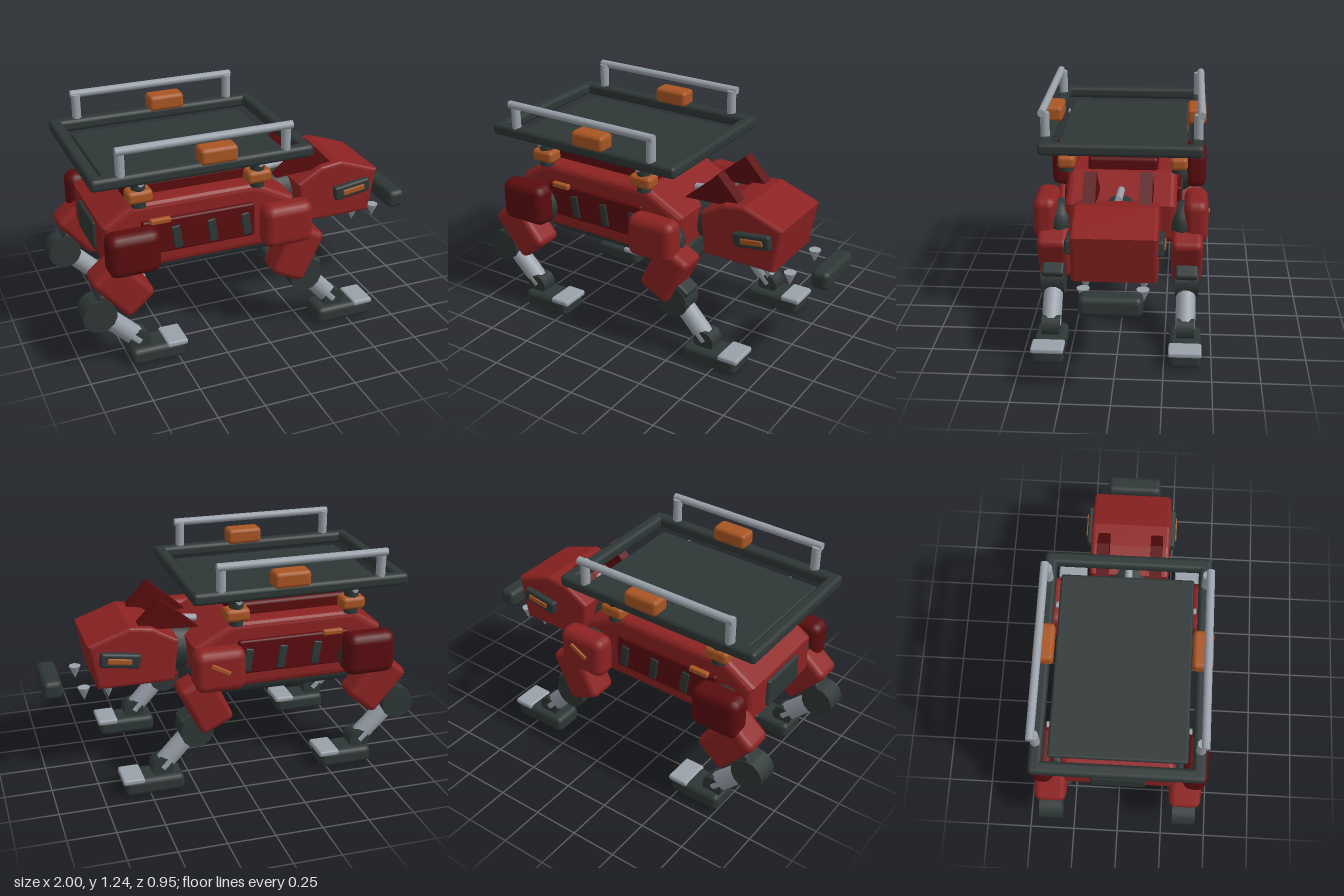
import * as THREE from 'three';
import { RoundedBoxGeometry } from 'three/addons/geometries/RoundedBoxGeometry.js';

const paint = (name, color) => {
  const m = new THREE.MeshStandardMaterial({ color });
  m.name = name;
  return m;
};

export function createModel() {
  const red = paint('armour red', 0x8c2222);
  const maroon = paint('deep red', 0x5a0c0e);
  const dark = paint('charcoal', 0x2e3736);
  const metal = paint('steel', 0x9aa1aa);
  const orange = paint('orange', 0xa85522);

  const model = new THREE.Group();
  model.name = 'quadrupedCarrier';

  const add = (name, geometry, material, x = 0, y = 0, z = 0, tilt = 0) => {
    const mesh = new THREE.Mesh(geometry, material);
    mesh.name = name;
    mesh.position.set(x, y, z);
    mesh.rotation.z = tilt;
    model.add(mesh);
    return mesh;
  };
  // Rounded block given by its centre and size
  const block = (name, mat, [x, y, z], [w, h, d], r = 0.02, tilt = 0) =>
    add(name, new RoundedBoxGeometry(w, h, d, 2, r), mat, x, y, z, tilt);
  // Rod between two points
  const rod = (name, mat, a, b, r, sides = 12) => {
    const p = new THREE.Vector3(...a), q = new THREE.Vector3(...b);
    const dir = q.clone().sub(p);
    const mesh = add(name, new THREE.CylinderGeometry(r, r, dir.length(), sides), mat);
    mesh.position.copy(p).add(q).multiplyScalar(0.5);
    mesh.quaternion.setFromUnitVectors(new THREE.Vector3(0, 1, 0), dir.normalize());
    return mesh;
  };
  // Side profile extruded across z, with softened edges
  const slab = (name, mat, points, width, bevel, z = 0) => {
    const shape = new THREE.Shape(points.map((p) => new THREE.Vector2(...p)));
    const g = new THREE.ExtrudeGeometry(shape, {
      depth: width - 2 * bevel, bevelEnabled: bevel > 0, bevelSize: bevel,
      bevelOffset: -bevel, bevelThickness: bevel, bevelSegments: 3,
    });
    g.translate(0, 0, bevel - width / 2);
    return add(name, g, mat, 0, 0, z);
  };

  // Torso
  slab('torso', red, [[-0.84, 0.56], [-0.74, 0.49], [0.1, 0.49], [0.21, 0.56],
    [0.22, 0.745], [0.0, 0.862], [-0.68, 0.862], [-0.84, 0.76]], 0.6, 0.035);
  block('belly', dark, [-0.26, 0.5, 0], [0.96, 0.18, 0.45], 0.06);
  block('backRidge', maroon, [-0.355, 0.885, 0], [0.67, 0.09, 0.385], 0.02);
  block('rearPanel', dark, [-0.84, 0.65, 0], [0.035, 0.16, 0.3], 0.015);

  // Neck and head
  rod('neck', dark, [0.14, 0.65, 0], [0.36, 0.67, 0], 0.13, 16);
  rod('neckStrut', metal, [0.13, 0.8, 0], [0.36, 0.83, 0], 0.02);
  slab('head', red, [[0.28, 0.77], [0.42, 0.85], [0.54, 0.865], [0.765, 0.785],
    [0.72, 0.535], [0.305, 0.535]], 0.435, 0.02);
  block('jawBumper', dark, [0.948, 0.53, 0], [0.104, 0.105, 0.31], 0.03);

  for (const s of [1, -1]) {
    // Side panel, vents and marker strip
    block('sidePanel', maroon, [-0.33, 0.67, s * 0.3], [0.62, 0.19, 0.045], 0.012);
    for (const x of [-0.455, -0.26, -0.07])
      block('sideVent', dark, [x, 0.655, s * 0.32], [0.048, 0.13, 0.02], 0.008, 0.14);
    block('sideMarker', orange, [-0.545, 0.765, s * 0.325], [0.11, 0.03, 0.03], 0.008);

    // Ear, eye and teeth
    slab('ear', maroon, [[0.165, 0.815], [0.51, 0.835], [0.365, 0.988]], 0.066, 0, s * 0.144);
    block('eyeSocket', dark, [0.6, 0.697, s * 0.225], [0.215, 0.08, 0.045], 0.014, 0.14);
    block('eye', orange, [0.605, 0.697, s * 0.246], [0.13, 0.032, 0.018], 0.006, 0.14);
    for (const x of [0.655, 0.785]) {
      const tooth = add('tooth', new THREE.ConeGeometry(0.034, 0.075, 8), metal, x, 0.495, s * 0.147);
      tooth.rotation.x = Math.PI;
    }

    // Legs
    const legs = [
      { name: 'front', hip: [0.12, 0.665], thigh: [0.19, 0.475], tilt: -0.45,
        knee: [0.24, 0.325], ankle: [0.425, 0.125], foot: [0.315, 0.635], armour: red },
      { name: 'rear', hip: [-0.72, 0.662], thigh: [-0.78, 0.472], tilt: 0.7,
        knee: [-0.91, 0.335], ankle: [-0.7, 0.125], foot: [-0.757, -0.463], armour: maroon },
    ];
    for (const leg of legs) {
      const z = s * 0.36;
      const part = (p) => leg.name + p;
      const joint = add(part('HipJoint'), new THREE.SphereGeometry(0.12, 14, 10), dark,
        leg.hip[0] + 0.02, leg.hip[1] - 0.04, s * 0.33);
      joint.scale.z = 0.6;
      block(part('Shoulder'), leg.armour, [...leg.hip, s * 0.405], [0.28, 0.235, 0.13], 0.05);
      block(part('Thigh'), red, [...leg.thigh, z], [0.2, 0.3, 0.17], 0.035, leg.tilt);
      rod(part('Knee'), dark, [...leg.knee, s * 0.3], [...leg.knee, s * 0.425], 0.09, 14);
      block(part('KneeBracket'), dark, [leg.knee[0] + 0.02, leg.knee[1] + 0.04, z],
        [0.1, 0.13, 0.12], 0.015, -0.6);
      rod(part('Shin'), metal, [...leg.knee, z], [...leg.ankle, z], 0.053, 10);
      rod(part('Ankle'), dark, [...leg.ankle, s * 0.312], [...leg.ankle, s * 0.408], 0.06, 10);
      const [heel, toe] = leg.foot;
      block(part('Foot'), dark, [(heel + toe) / 2, 0.047, z], [toe - heel, 0.094, 0.17], 0.028);
      block(part('ToePlate'), metal, [toe - 0.045, 0.087, z], [0.115, 0.032, 0.174], 0.012);
    }

    // Cargo mounts
    for (const x of [-0.65, -0.005]) {
      rod('mountPost', dark, [x, 0.86, s * 0.307], [x, 1.01, s * 0.307], 0.038);
      block('mountClamp', orange, [x, 0.922, s * 0.307], [0.135, 0.07, 0.095], 0.022);
    }

    // Tray rail with handle and lamp
    block('traySideRail', dark, [-0.33, 1.06, s * 0.403], [1.18, 0.066, 0.066], 0.022);
    for (const x of [-0.765, 0.108])
      rod('handlePost', metal, [x, 1.07, s * 0.407], [x, 1.222, s * 0.407], 0.025);
    rod('handleBar', metal, [-0.79, 1.222, s * 0.422], [0.135, 1.222, s * 0.422], 0.021);
    block('railLamp', orange, [-0.265, 1.125, s * 0.4], [0.2, 0.088, 0.105], 0.022);
  }
  // Marker on one shoulder only
  block('shoulderMarker', orange, [0.125, 0.685, -0.47], [0.115, 0.025, 0.018], 0.006, 0.5);

  // Tray floor, end rails and cross rods
  block('trayFloor', dark, [-0.33, 1.015, 0], [0.98, 0.032, 0.7], 0.012);
  for (const x of [-0.887, 0.227])
    block('trayEndRail', dark, [x, 1.06, 0], [0.066, 0.066, 0.87], 0.022);
  for (const x of [-0.65, -0.005])
    rod('trayCrossRod', metal, [x, 1.003, -0.365], [x, 1.003, 0.365], 0.016);

  return model;
}
